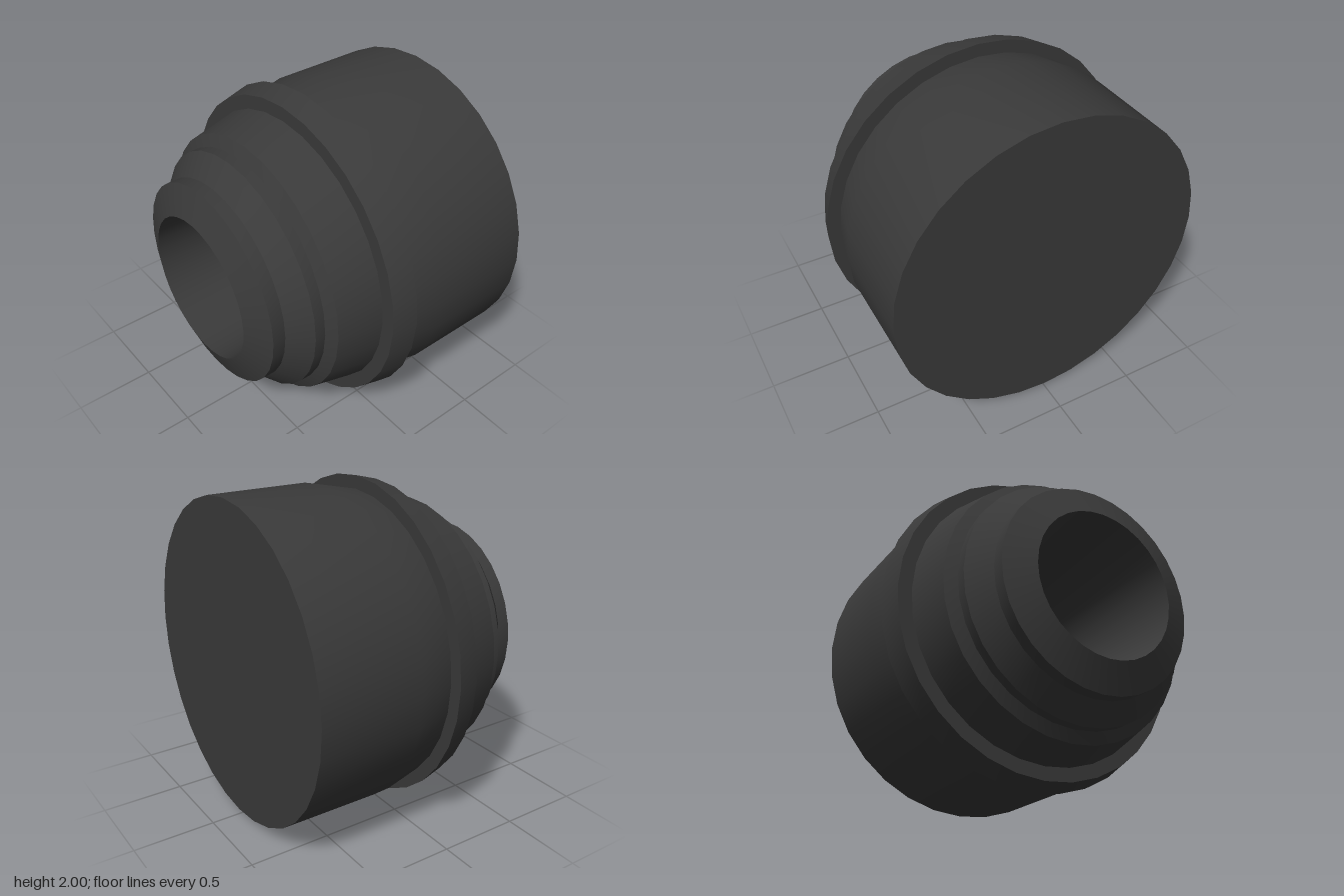
import * as THREE from 'three';
import { toCreasedNormals } from 'three/addons/utils/BufferGeometryUtils.js';

const SIDES = 32;
const material = new THREE.MeshStandardMaterial({ color: 0x3a3a3a });

// Turned part: profile of [radius, z] pairs, spun about the z axis
function turned(name, profile) {
  const points = profile.map(([r, z]) => new THREE.Vector2(r, z));
  const lathe = new THREE.LatheGeometry(points, SIDES);
  lathe.rotateX(Math.PI / 2);
  const mesh = new THREE.Mesh(toCreasedNormals(lathe, Math.PI / 8), material);
  mesh.name = name;
  mesh.position.y = 1;
  return mesh;
}

export function createModel() {
  const model = new THREE.Group();
  model.name = 'steppedBarrel';

  // Main barrel with closed back, narrowing under the collar
  model.add(turned('barrel', [[0, -0.82], [0.97, -0.82], [0.97, -0.19], [0.92, 0.045]]));

  // Protruding tapered collar
  model.add(turned('collar', [[0.92, 0.045], [1, 0.045], [0.965, 0.19], [0.88, 0.19]]));

  // Stepped nose
  model.add(turned('nose', [
    [0.88, 0.19], [0.82, 0.455], [0.75, 0.49], [0.75, 0.555],
    [0.63, 0.67], [0.63, 0.75], [0.45, 0.82],
  ]));

  // Deep, slightly tapered bore with a flat floor
  model.add(turned('bore', [[0.45, 0.82], [0.41, -0.3], [0, -0.3]]));

  return model;
}
